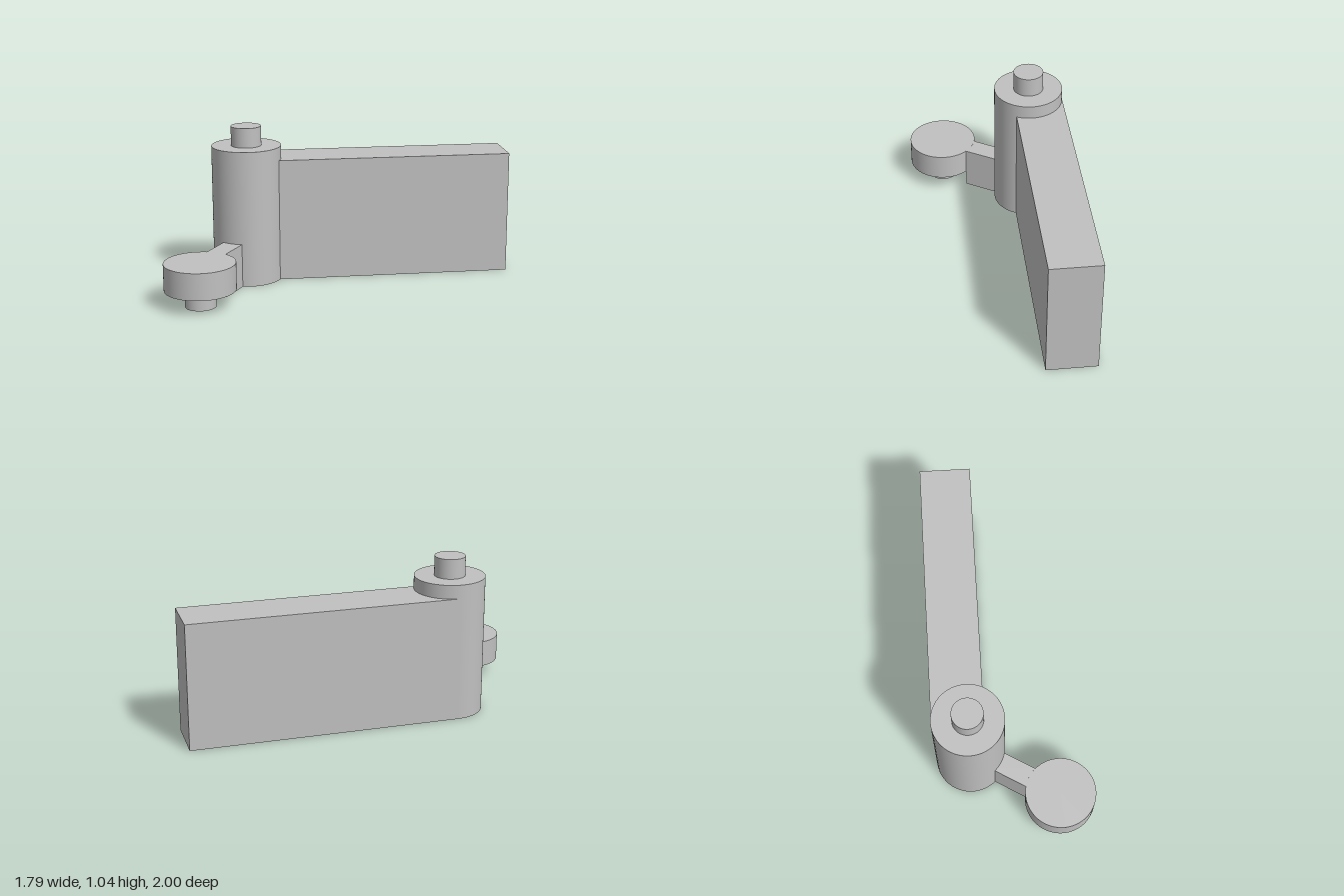
import * as THREE from 'three';

const HUB_X = -0.67, HUB_Z = 0.1, END_Z = 0.767, R = 0.23, PIN_R = 0.1;

export function createModel() {
  const model = new THREE.Group();
  model.name = 'hingeLink';
  const grey = new THREE.MeshStandardMaterial({ color: 0xc0c0c0 });
  grey.name = 'plain grey';

  const add = (name, geometry, parent = model) => {
    const mesh = new THREE.Mesh(geometry, grey);
    mesh.name = name;
    parent.add(mesh);
    return mesh;
  };
  // Upright cylinder between two heights
  const post = (name, radius, z, y0, y1) =>
    add(name, new THREE.CylinderGeometry(radius, radius, y1 - y0, 72))
      .position.set(HUB_X, (y0 + y1) / 2, z);

  // Hinge barrel with its top pin
  post('hingeBarrel', R, HUB_Z, 0, 0.91);
  post('topPin', PIN_R, HUB_Z, 0.91, 1.04);

  // Round end of the short arm with its bottom pin
  post('armDisc', R, END_Z, 0.113, 0.29);
  post('bottomPin', PIN_R, END_Z, 0, 0.113);

  // Long bar, one side tangent to the barrel
  const swing = new THREE.Group();
  swing.name = 'longBarPivot';
  swing.position.set(HUB_X, 0, HUB_Z);
  swing.rotation.y = 0.539;
  model.add(swing);
  add('longBar', new THREE.BoxGeometry(1.762, 0.82, 0.332), swing)
    .position.set(0.881, 0.41, -0.064);

  // Short arm, hollowed at its end to fit the disc
  const half = 0.068, a = Math.asin(half / R);
  const outline = new THREE.Shape();
  outline.moveTo(-half, -(HUB_Z + 0.18));
  outline.lineTo(half, -(HUB_Z + 0.18));
  outline.absarc(0, -END_Z, R, Math.PI / 2 - a, Math.PI / 2 + a, false);
  outline.closePath();
  const arm = add('shortArm', new THREE.ExtrudeGeometry(outline,
    { depth: 0.29, bevelEnabled: false, curveSegments: 12 }));
  arm.rotation.x = -Math.PI / 2;
  arm.position.x = HUB_X;

  return model;
}
